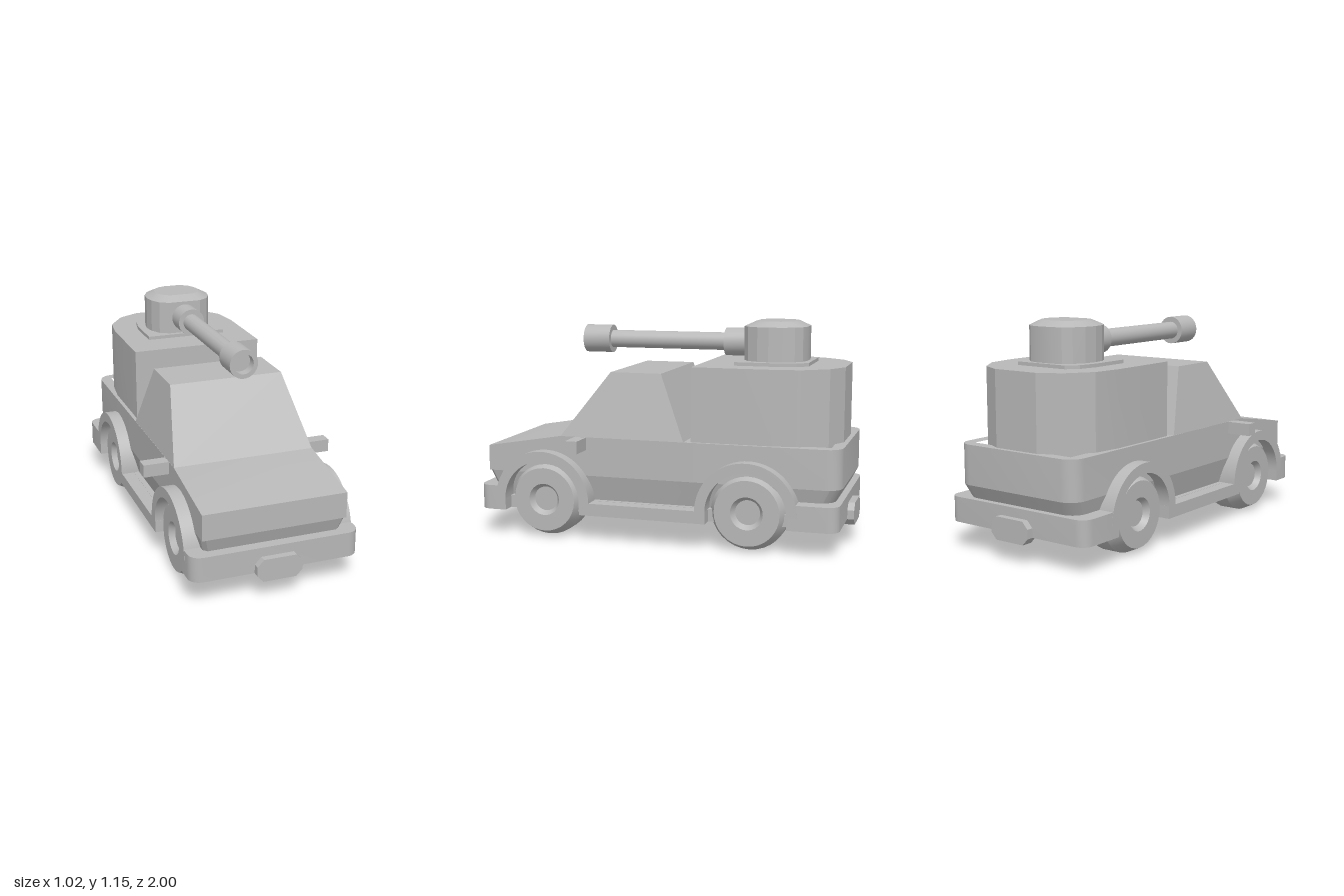
import * as THREE from 'three';
import { toCreasedNormals } from 'three/addons/utils/BufferGeometryUtils.js';
import { ConvexGeometry } from 'three/addons/geometries/ConvexGeometry.js';

const grey = new THREE.MeshStandardMaterial({ color: 0xb8b8b8 });
grey.name = 'plain grey';

export function createModel() {
  const model = new THREE.Group();
  model.name = 'turretTruck';

  const add = (name, geometry, crease = 0.4) => {
    const mesh = new THREE.Mesh(toCreasedNormals(geometry, crease), grey);
    mesh.name = name;
    model.add(mesh);
    return mesh;
  };
  const box = (name, x0, x1, y0, y1, z0, z1) =>
    add(name, new THREE.BoxGeometry(x1 - x0, y1 - y0, z1 - z0)
      .translate((x0 + x1) / 2, (y0 + y1) / 2, (z0 + z1) / 2));
  const toShape = (pts) => new THREE.Shape(pts.map(([a, b]) => new THREE.Vector2(a, b)));
  const extrude = (shape, depth) =>
    new THREE.ExtrudeGeometry(shape, { depth, bevelEnabled: false, curveSegments: 20 });
  // Shape drawn in (x, z), raised from y0 to y1
  const planExtrude = (name, shape, y0, y1) =>
    add(name, extrude(shape, y1 - y0).rotateX(Math.PI / 2).translate(0, y1, 0));
  // Shape drawn in (z, y), running from x0 to x1
  const sideExtrude = (name, shape, x0, x1) =>
    add(name, extrude(shape, x1 - x0).rotateY(-Math.PI / 2).translate(x1, 0, 0));
  // Mirrors a half outline given from the +x side towards the centre line
  const mirror = (half) => [...half, ...half.map(([x, z]) => [-x, z]).reverse()];
  // Convex solid through flat rings, each [y, outline in (x, z)]
  const convex = (name, rings) =>
    add(name, new ConvexGeometry(rings.flatMap(([y, pts]) =>
      pts.map(([x, z]) => new THREE.Vector3(x, y, z)))), 0.3);
  // Half outline with a rounded corner at (w, z1), starting at (w, z0)
  const roundedHalf = (w, z0, z1, r) => {
    const s = Math.sign(z1 - z0);
    const pts = [[w, z0]];
    for (let i = 0; i <= 5; i++) {
      const a = (i / 5) * Math.PI / 2;
      pts.push([w - r + r * Math.cos(a), z1 + s * r * (Math.sin(a) - 1)]);
    }
    return pts;
  };

  // Chassis, bumpers and number plates
  box('chassis', -0.37, 0.37, 0.14, 0.206, -0.85, 0.85);
  planExtrude('frontBumper', toShape(mirror(roundedHalf(0.44, 0.815, 0.965, 0.06))), 0.14, 0.27);
  planExtrude('rearBumper', toShape(mirror(roundedHalf(0.44, -0.707, -0.965, 0.06))), 0.14, 0.27);
  const plate = mirror([[0.085, 0.105], [0.118, 0.14], [0.118, 0.187], [0.085, 0.222]]);
  add('frontPlate', extrude(toShape(plate), 0.06).translate(0, 0, 0.94));
  add('rearPlate', extrude(toShape(plate), 0.06).translate(0, 0, -1));

  // Lower body tapering inwards
  const skirtOutline = (w, zf, zr) =>
    mirror([[w - 0.02, zf], [w, zf - 0.02], ...roundedHalf(w, 0, zr, 0.08)]);
  convex('lowerBody', [
    [0.2, skirtOutline(0.338, 0.885, -0.895)],
    [0.34, skirtOutline(0.375, 0.935, -0.965)],
  ]);

  // Bonnet and middle body
  sideExtrude('frontBody', toShape([
    [-0.19, 0.34], [0.935, 0.34], [0.935, 0.475], [0.52, 0.545], [-0.19, 0.545],
  ]), -0.375, 0.375);

  // Open bed with walls all round and a sunken floor
  const bed = toShape(mirror(roundedHalf(0.375, -0.19, -0.965, 0.08)));
  bed.holes.push(new THREE.Path([
    [0.31, -0.195], [0.31, -0.905], [-0.31, -0.905], [-0.31, -0.195],
  ].map(([x, z]) => new THREE.Vector2(x, z))));
  planExtrude('bedWalls', bed, 0.34, 0.545);
  box('bedFloor', -0.32, 0.32, 0.34, 0.46, -0.91, -0.18);

  // Cab
  convex('cab', [
    [0.54, mirror([[0.375, 0.523], [0.375, -0.157]])],
    [0.885, mirror([[0.305, 0.26], [0.305, -0.015]])],
  ]);

  // Tall box on the bed, and turret base
  planExtrude('cargoBox', toShape(mirror([
    [0.355, -0.19], [0.355, -0.6], [0.335, -0.75], [0.245, -0.88], [0.13, -0.94],
  ])), 0.45, 0.93);
  planExtrude('turretBase', toShape(mirror([
    [0.22, -0.38], [0.22, -0.6], [0.2, -0.7], [0.15, -0.755],
  ])), 0.92, 0.948);

  // Turret with chamfered top
  const turretHalf = [
    [0.09, -0.405], [0.14, -0.435], [0.17, -0.49], [0.18, -0.55],
    [0.17, -0.62], [0.14, -0.68], [0.1, -0.715], [0.05, -0.73],
  ];
  const turretTop = turretHalf.map(([x, z]) => [x * 0.7, -0.567 + (z + 0.567) * 0.65]);
  convex('turret', [
    [0.94, mirror(turretHalf)], [1.125, mirror(turretHalf)], [1.152, mirror(turretTop)],
  ]);

  // Gun barrel with collar and hollow muzzle
  const barrel = [
    [0, -0.43], [0.074, -0.43], [0.074, -0.288], [0.047, -0.288], [0.047, 0.352],
    [0.075, 0.352], [0.075, 0.5], [0.052, 0.5], [0.052, 0.45], [0, 0.45],
  ];
  add('gunBarrel', new THREE.LatheGeometry(barrel.map(([r, y]) => new THREE.Vector2(r, y)), 28)
    .rotateX(Math.PI / 2).translate(0, 1.035, 0));

  // Wheels with recessed hubs, arches over them, sills and mirrors
  const tyre = [
    [0, -0.12], [0.173, -0.12], [0.203, -0.05], [0.203, 0.05],
    [0.17, 0.12], [0.085, 0.12], [0.065, 0.09], [0, 0.09],
  ].map(([r, y]) => new THREE.Vector2(r, y));
  for (const side of [1, -1]) {
    const label = side > 0 ? 'left' : 'right';
    const span = (a, b) => (side > 0 ? [a, b] : [-b, -a]);
    for (const [end, z] of [['Front', 0.605], ['Rear', -0.497]]) {
      add(label + end + 'Wheel', new THREE.LatheGeometry(tyre, 32)
        .rotateZ(-side * Math.PI / 2).translate(side * 0.288, 0.203, z));
      const arch = new THREE.Shape();
      arch.absarc(z, 0.203, 0.264, 0, Math.PI, false);
      arch.absarc(z, 0.203, 0.21, Math.PI, 0, true);
      sideExtrude(label + end + 'Arch', arch, ...span(0.32, 0.441));
    }
    box(label + 'Sill', ...span(0.35, 0.438), 0.14, 0.205, -0.288, 0.396);
    box(label + 'Mirror', ...span(0.36, 0.508), 0.478, 0.544, 0.375, 0.44);
  }
  return model;
}
